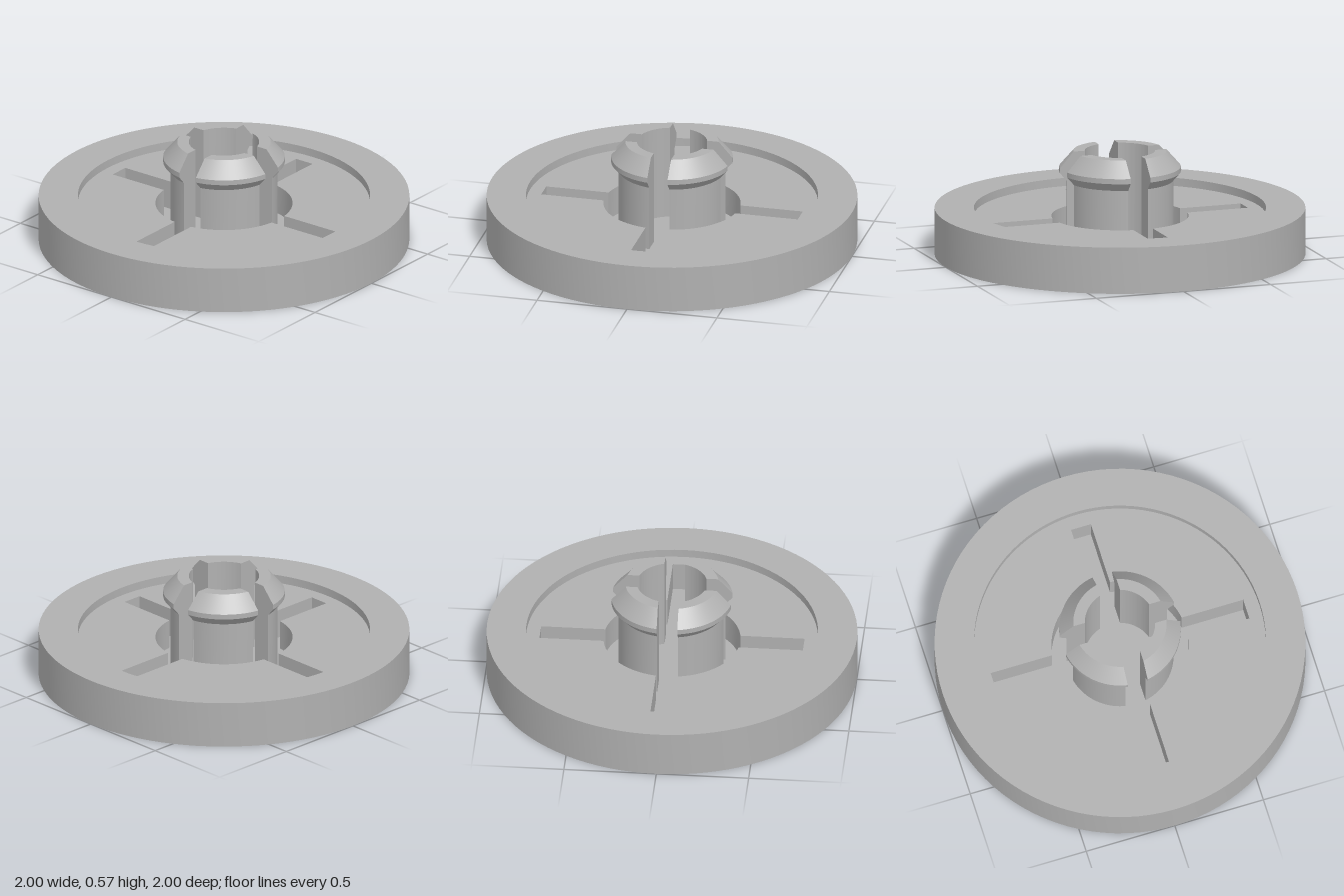
import * as THREE from 'three';
import { toCreasedNormals } from 'three/addons/utils/BufferGeometryUtils.js';

const FLOOR = 0.05, DECK = 0.21, RIM = 0.255; // pit floor, recessed deck, rim top
const HALF = 0.056;                           // half the slot width
const PIT = 0.37, SLOT = 0.713, RECESS = 0.788;

function fromTriangles(positions) {
  const g = new THREE.BufferGeometry();
  g.setAttribute('position', new THREE.Float32BufferAttribute(positions, 3));
  return toCreasedNormals(g, 0.4);
}

// Outline of the round pit with its four slots, anticlockwise
function pitOutline() {
  const pts = [], a = Math.asin(HALF / PIT), n = 20;
  for (let q = 0; q < 4; q++) {
    const turn = (q * Math.PI) / 2, o = new THREE.Vector2();
    pts.push(new THREE.Vector2(SLOT, -HALF).rotateAround(o, turn));
    pts.push(new THREE.Vector2(SLOT, HALF).rotateAround(o, turn));
    for (let i = 0; i <= n; i++) {
      const t = turn + a + ((Math.PI / 2 - 2 * a) * i) / n;
      pts.push(new THREE.Vector2(PIT * Math.cos(t), PIT * Math.sin(t)));
    }
  }
  return pts;
}

// Upright walls of the pit, facing inwards
function pitWalls(pts) {
  const pos = [];
  pts.forEach((a, i) => {
    const b = pts[(i + 1) % pts.length];
    const a0 = [a.x, a.y, FLOOR], a1 = [a.x, a.y, DECK];
    const b0 = [b.x, b.y, FLOOR], b1 = [b.x, b.y, DECK];
    pos.push(...b0, ...a0, ...a1, ...b0, ...a1, ...b1);
  });
  return fromTriangles(pos);
}

// One barbed prong: a ring section swept between two flat slot faces
function prongGeometry() {
  const profile = [
    [0.289, FLOOR], [0.289, 0.41], [0.328, 0.455], [0.328, 0.483],
    [0.252, 0.57], [0.19, 0.57], [0.19, FLOOR],
  ];
  const n = 20, pos = [];
  const point = (i, j) => {
    const [r, y] = profile[j], a = Math.asin(HALF / r);
    const t = a + ((Math.PI / 2 - 2 * a) * i) / n;
    return [r * Math.cos(t), y, r * Math.sin(t)];
  };
  for (let i = 0; i < n; i++) {
    for (let j = 0; j < profile.length - 1; j++) {
      const a = point(i, j), b = point(i, j + 1), c = point(i + 1, j + 1), d = point(i + 1, j);
      pos.push(...a, ...b, ...d, ...b, ...c, ...d);
    }
  }
  // Flat faces beside the slots
  const flat = profile.map(([r, y]) => new THREE.Vector2(r, y));
  for (const [a, b, c] of THREE.ShapeUtils.triangulateShape(flat, [])) {
    pos.push(...point(0, c), ...point(0, b), ...point(0, a));
    pos.push(...point(n, a), ...point(n, b), ...point(n, c));
  }
  return fromTriangles(pos);
}

export function createModel() {
  const grey = new THREE.MeshStandardMaterial({ color: 0xb0b0b0 });
  grey.name = 'grey plastic';
  const model = new THREE.Group();
  model.name = 'snapCap';
  const add = (name, geometry) => {
    const mesh = new THREE.Mesh(geometry, grey);
    mesh.name = name;
    model.add(mesh);
    return mesh;
  };

  // Disc underside, outer wall, rim and recess wall
  const section = [[0, 0], [1, 0], [1, RIM], [RECESS, RIM], [RECESS, DECK]];
  const shell = new THREE.LatheGeometry(section.map(([x, y]) => new THREE.Vector2(x, y)), 96);
  add('discShell', toCreasedNormals(shell, 0.4));

  // Recessed deck with the slotted pit cut out of it
  const outline = pitOutline();
  const deck = new THREE.Shape().absarc(0, 0, RECESS, 0, Math.PI * 2);
  deck.holes.push(new THREE.Path(outline));
  add('deck', new THREE.ShapeGeometry(deck, 48).translate(0, 0, DECK).rotateX(-Math.PI / 2));
  add('pitWalls', pitWalls(outline).rotateX(-Math.PI / 2));
  add('pitFloor', new THREE.ShapeGeometry(new THREE.Shape(outline))
    .translate(0, 0, FLOOR).rotateX(-Math.PI / 2));

  // Four snap prongs
  const prong = prongGeometry();
  for (let q = 0; q < 4; q++) add('prong', prong).rotation.y = (q * Math.PI) / 2;

  return model;
}
